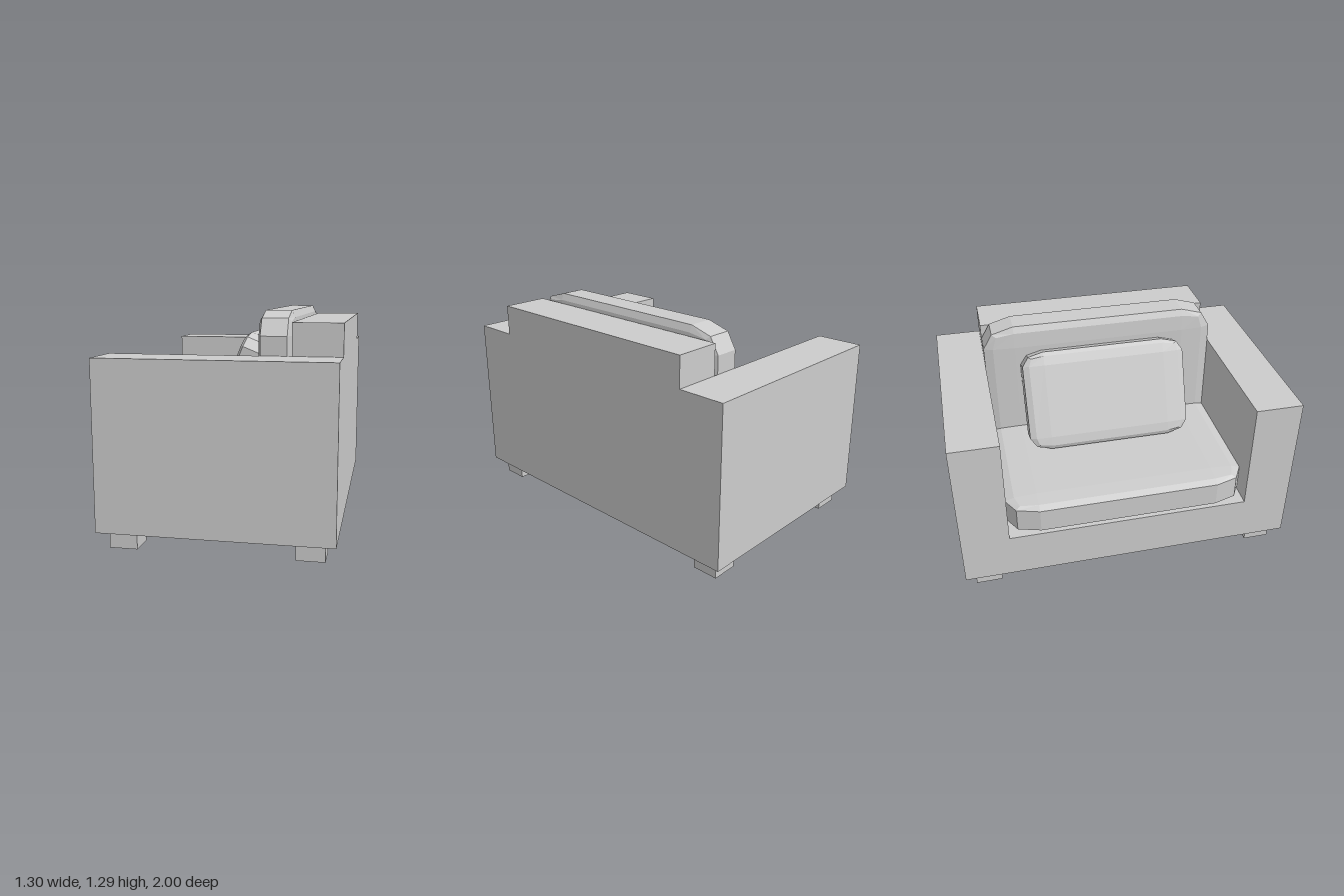
import * as THREE from 'three';
import { RoundedBoxGeometry } from 'three/addons/geometries/RoundedBoxGeometry.js';

export function createModel() {
  const armchair = new THREE.Group();
  armchair.name = 'armchair';

  const fabric = new THREE.MeshStandardMaterial({ color: 0xcccccc, flatShading: true });
  fabric.name = 'light grey';

  function add(name, geometry, x, y, z) {
    const mesh = new THREE.Mesh(geometry, fabric);
    mesh.name = name;
    mesh.position.set(x, y, z);
    armchair.add(mesh);
    return mesh;
  }

  // Box given by its limits on each axis
  function block(name, x0, x1, y0, y1, z0, z1) {
    return add(name, new THREE.BoxGeometry(x1 - x0, y1 - y0, z1 - z0),
      (x0 + x1) / 2, (y0 + y1) / 2, (z0 + z1) / 2);
  }

  // Low-poly cushion: a bevelled unit cube stretched to size
  function cushion(name, w, h, d, x, y) {
    const geometry = new RoundedBoxGeometry(1, 1, 1, 1, 0.13);
    geometry.scale(w, h, d);
    return add(name, geometry, x, y, 0);
  }

  // Frame: the seat opens towards -x
  block('seatBase', -0.65, 0.65, 0.1, 0.38, -0.72, 0.72);
  block('backrest', 0.375, 0.65, 0.38, 1.23, -0.72, 0.72);

  // Armrests and legs, mirrored on both sides
  for (const [side, s] of [['left', -1], ['right', 1]]) {
    block(side + 'Armrest', -0.65, 0.65, 0.1, 1.05, s > 0 ? 0.72 : -1, s > 0 ? 1 : -0.72);
    for (const [end, e] of [['front', -1], ['rear', 1]]) {
      add(`${end}${side === 'left' ? 'Left' : 'Right'}Leg`,
        new THREE.BoxGeometry(0.157, 0.1, 0.155), e * 0.513, 0.05, s * 0.862);
    }
  }

  // Cushions
  cushion('seatCushion', 1.025, 0.195, 1.44, -0.1375, 0.478);
  cushion('backCushion', 0.197, 1.02, 1.44, 0.2765, 0.778);
  const pillow = cushion('throwPillow', 0.19, 0.61, 1.01, 0.046, 0.846);
  pillow.rotation.z = -THREE.MathUtils.degToRad(22);

  return armchair;
}
